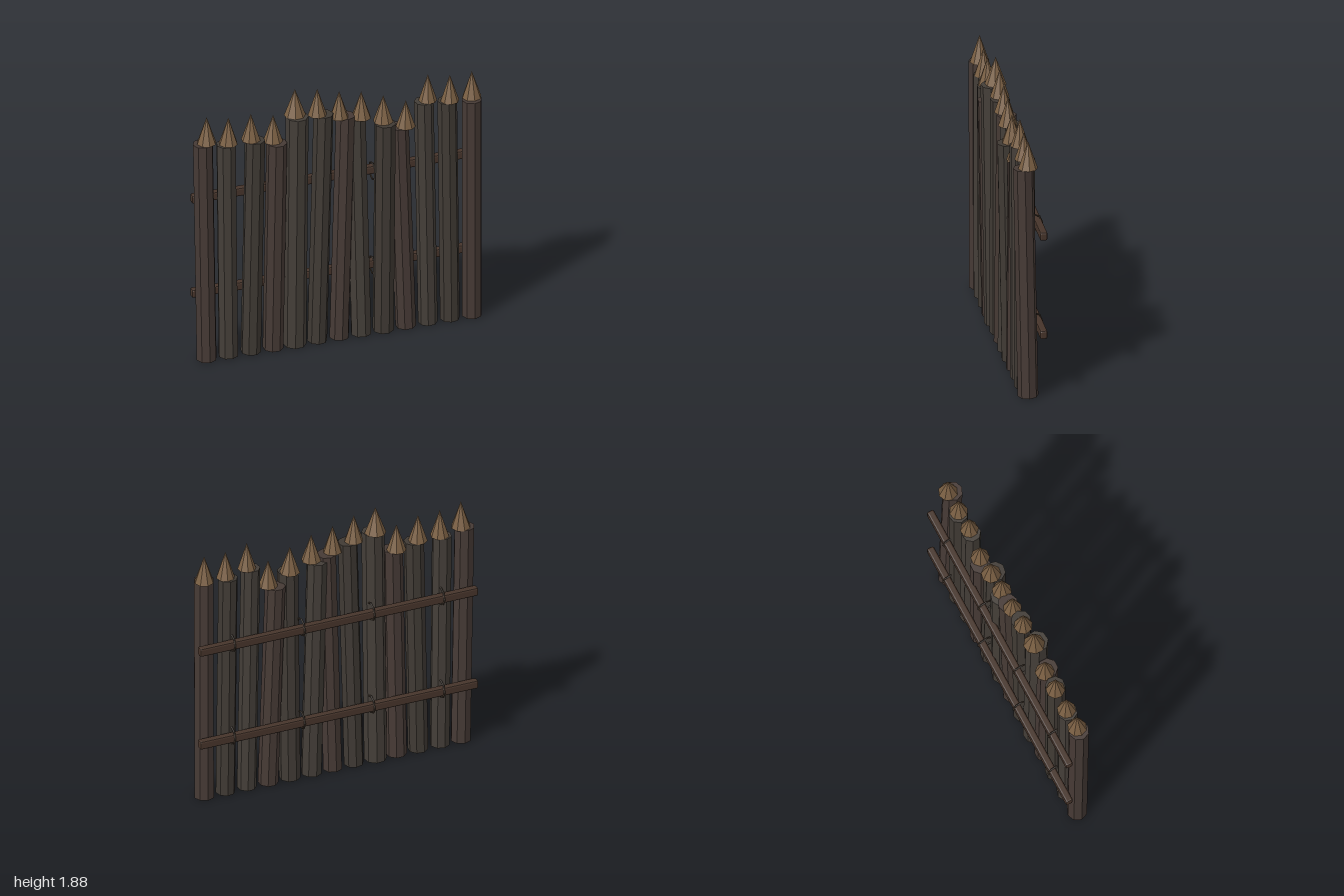
import * as THREE from 'three';
import { RoundedBoxGeometry } from 'three/addons/geometries/RoundedBoxGeometry.js';

const material = (color) => new THREE.MeshStandardMaterial({ color, flatShading: true });
const UP = new THREE.Vector3(0, 1, 0);

// Each stake: base x, top x, top z, log height, radius
const STAKES = [
  [-0.91, -0.935, 0.01, 1.59, 0.068],
  [-0.76, -0.775, 0.01, 1.56, 0.066],
  [-0.605, -0.58, 0.02, 1.56, 0.067],
  [-0.452, -0.437, 0.04, 1.525, 0.068],
  [-0.302, -0.295, 0.035, 1.69, 0.075],
  [-0.148, -0.107, 0.015, 1.665, 0.066],
  [0.003, 0.05, 0, 1.62, 0.066],
  [0.155, 0.125, -0.013, 1.59, 0.069],
  [0.307, 0.31, 0.04, 1.535, 0.07],
  [0.462, 0.42, -0.01, 1.47, 0.067],
  [0.614, 0.587, 0.01, 1.635, 0.064],
  [0.766, 0.752, 0, 1.605, 0.065],
  [0.917, 0.907, 0.038, 1.605, 0.068],
];
const BASE_Z = 0.01;
const TIP_HEIGHT = 0.19;
const RAIL_HEIGHTS = [0.45, 1.145];
const TIE_X = [-0.74, -0.243, 0.254, 0.75];

export function createModel() {
  const fence = new THREE.Group();
  fence.name = 'palisadeFence';
  const logMaterials = [0x463a35, 0x443e38, 0x403a34].map(material);
  const tipMaterial = material(0x7a5f43);
  const railMaterial = material(0x46342a);
  const ropeMaterial = material(0x40352b);

  const add = (parent, name, geometry, mat, x, y, z) => {
    const mesh = new THREE.Mesh(geometry, mat);
    mesh.name = name;
    mesh.position.set(x, y, z);
    parent.add(mesh);
    return mesh;
  };

  // Leaning logs, each with an upright carved point above its foot
  STAKES.forEach(([x, topX, topZ, height, radius], i) => {
    const stake = new THREE.Group();
    stake.name = `stake${i + 1}`;
    const lean = new THREE.Vector3(topX - x, height, topZ - BASE_Z);
    const logGeometry = new THREE.CylinderGeometry(radius, radius, lean.length(), 8);
    logGeometry.rotateY(i * 1.7);
    const log = add(stake, 'log', logGeometry, logMaterials[i % 3],
      (x + topX) / 2, height / 2, (BASE_Z + topZ) / 2);
    log.quaternion.setFromUnitVectors(UP, lean.normalize());

    const tipRadius = radius * 0.95;
    const tipGeometry = new THREE.ConeGeometry(tipRadius, TIP_HEIGHT, 8);
    tipGeometry.rotateY(i * 1.7);
    add(stake, 'sharpenedTip', tipGeometry, tipMaterial, x, height + TIP_HEIGHT / 2, BASE_Z);
    fence.add(stake);
  });

  // Back rails, held by rope loops
  const railGeometry = new RoundedBoxGeometry(1.98, 0.06, 0.05, 1, 0.012);
  const ropeGeometry = new THREE.TorusGeometry(0.06, 0.006, 5, 8);
  ropeGeometry.rotateY(Math.PI / 2);
  for (const y of RAIL_HEIGHTS) {
    add(fence, 'rail', railGeometry, railMaterial, 0.005, y, -0.082);
    for (const x of TIE_X) add(fence, 'ropeTie', ropeGeometry, ropeMaterial, x, y, -0.053);
  }
  return fence;
}
